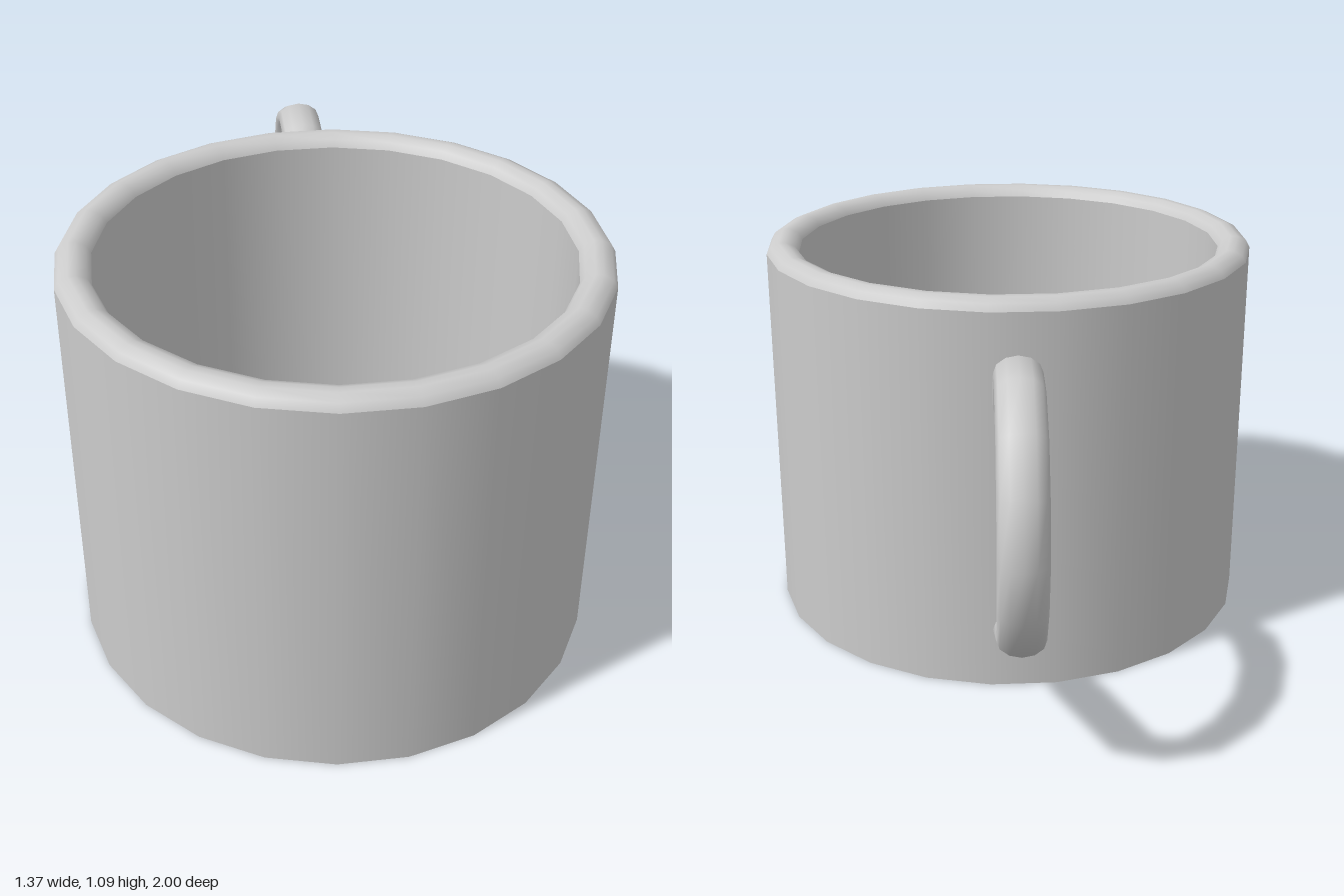
import * as THREE from 'three';

const SIDES = 24, CENTER_Z = 0.31;
const R_OUT = 0.69, R_IN = 0.6, HEIGHT = 1.085, WALL_TOP = 1.055, FLOOR_Y = 0.055;
const TURN = THREE.MathUtils.degToRad(9.5);

const material = new THREE.MeshStandardMaterial({ color: 0xcccccc });
const thinMaterial = new THREE.MeshStandardMaterial({ color: 0xcccccc, side: THREE.DoubleSide });

// One ring-shaped surface of the cup; separate pieces keep the edges crisp
function turned(name, points) {
  const profile = points.map(([r, y]) => new THREE.Vector2(r, y));
  const mesh = new THREE.Mesh(new THREE.LatheGeometry(profile, SIDES, TURN), material);
  mesh.name = name;
  return mesh;
}

// Sweeps an oval section along a [z, y] path, with mitred bends
function sweepOval(path, halfWidth, halfThickness, sides) {
  const pts = path.map(([z, y]) => new THREE.Vector2(z, y));
  const positions = [], indices = [];
  pts.forEach((p, i) => {
    const before = p.clone().sub(pts[Math.max(i - 1, 0)]).normalize();
    const after = pts[Math.min(i + 1, pts.length - 1)].clone().sub(p).normalize();
    const t = before.clone().add(after).normalize();
    const mitre = 1 / Math.max(t.dot(i ? before : after), 0.5);
    for (let j = 0; j < sides; j++) {
      const a = (j / sides) * Math.PI * 2;
      const n = Math.sin(a) * halfThickness * mitre;
      positions.push(Math.cos(a) * halfWidth, p.y + t.x * n, p.x - t.y * n);
      if (i < pts.length - 1) {
        const k = (j + 1) % sides, r = i * sides, s = r + sides;
        indices.push(r + j, r + k, s + k, r + j, s + k, s + j);
      }
    }
  });
  const geometry = new THREE.BufferGeometry();
  geometry.setAttribute('position', new THREE.Float32BufferAttribute(positions, 3));
  geometry.setIndex(indices);
  geometry.computeVertexNormals();
  return geometry;
}

export function createModel() {
  const model = new THREE.Group();
  model.name = 'mug';

  // Cup: wall, rounded rim and foot ring
  const cup = new THREE.Group();
  cup.name = 'cup';
  cup.position.z = CENTER_Z;
  cup.add(
    turned('outerWall', [[R_OUT, 0], [R_OUT, WALL_TOP]]),
    turned('rim', [
      [R_OUT, WALL_TOP], [0.679, 1.074], [0.655, HEIGHT],
      [0.635, HEIGHT], [0.611, 1.074], [R_IN, WALL_TOP],
    ]),
    turned('innerWall', [[R_IN, WALL_TOP], [R_IN, 0]]),
    turned('footRing', [[R_IN, 0], [R_OUT, 0]]),
  );

  // Floor, set slightly above the foot ring
  const floor = new THREE.Mesh(
    new THREE.CircleGeometry(R_IN, SIDES, TURN - Math.PI / 2), thinMaterial);
  floor.name = 'floor';
  floor.rotation.x = -Math.PI / 2;
  floor.position.y = FLOOR_Y;
  cup.add(floor);
  model.add(cup);

  // Handle at the back, its ends buried in the wall
  const handle = new THREE.Mesh(sweepOval([
    [-0.34, 0.77], [-0.435, 0.89], [-0.57, 0.965], [-0.705, 0.965], [-0.845, 0.9],
    [-0.925, 0.79], [-0.96, 0.65], [-0.925, 0.515], [-0.845, 0.4], [-0.34, 0.152],
  ], 0.06, 0.04, 12), material);
  handle.name = 'handle';
  model.add(handle);

  return model;
}
